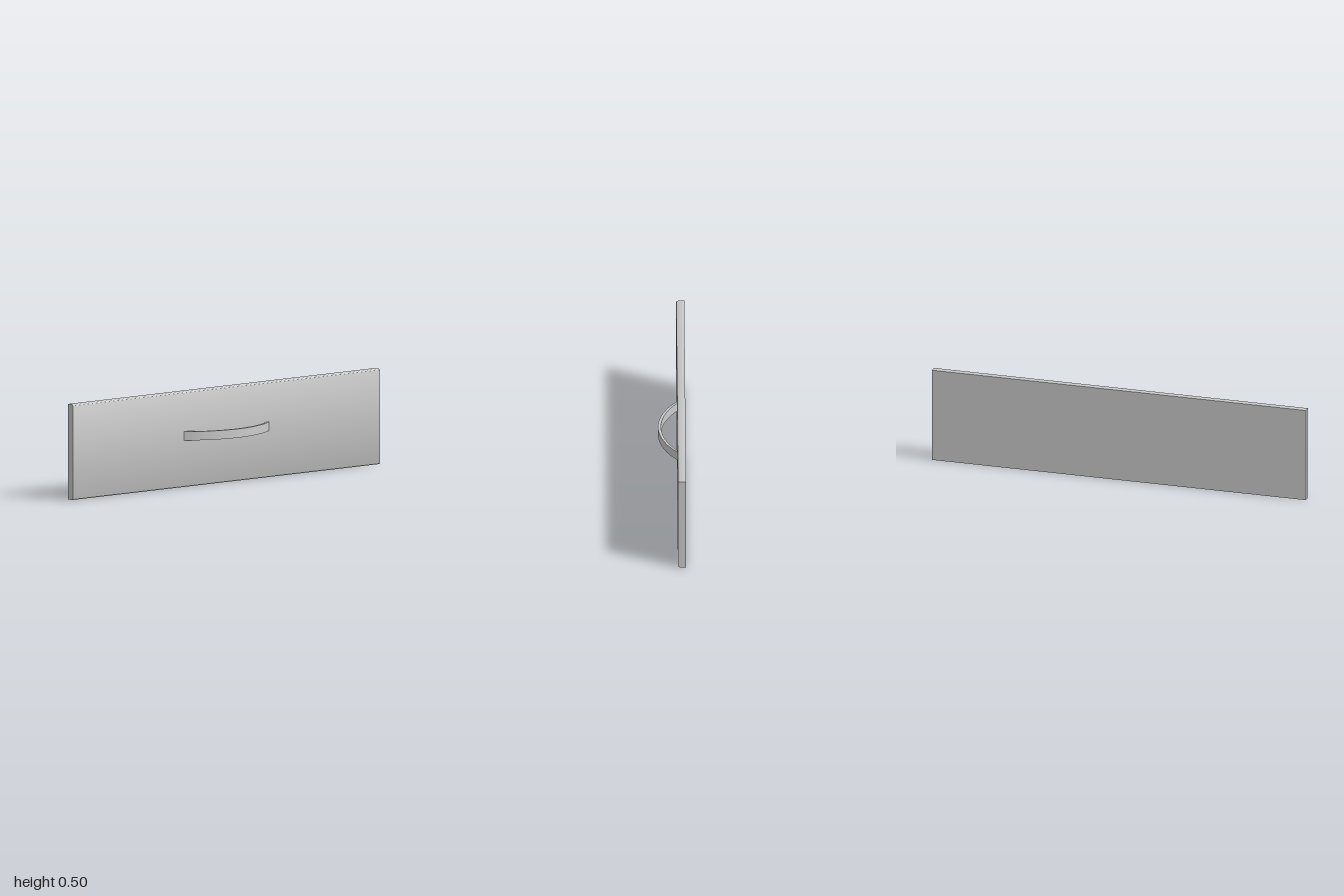
import * as THREE from 'three';
import { toCreasedNormals } from 'three/addons/utils/BufferGeometryUtils.js';

const material = new THREE.MeshStandardMaterial({ color: 0xcccccc });

function extrude(shape, depth) {
  return new THREE.ExtrudeGeometry(shape, { depth, bevelEnabled: false, curveSegments: 6 });
}

function addPart(group, name, geometry) {
  const mesh = new THREE.Mesh(toCreasedNormals(geometry, 0.6), material);
  mesh.name = name;
  group.add(mesh);
}

// Half of a bow, mirrored to a full smooth curve running from -x to +x
function bowCurve(half) {
  const left = half.map(([x, z]) => new THREE.Vector2(-x, z));
  const right = half.slice(0, -1).reverse().map(([x, z]) => new THREE.Vector2(x, z));
  return new THREE.SplineCurve([...left, ...right]).getPoints(40);
}

export function createModel() {
  const group = new THREE.Group();
  group.name = 'drawerFront';

  // Panel: side profile with rounded front edges, swept along x
  const height = 0.495, back = 0.07, front = 0.028, r = 0.01;
  const profile = new THREE.Shape();
  profile.moveTo(back, 0);
  profile.lineTo(back, height);
  profile.lineTo(front + r, height);
  profile.absarc(front + r, height - r, r, Math.PI / 2, Math.PI, false);
  profile.lineTo(front, r);
  profile.absarc(front + r, r, r, Math.PI, Math.PI * 1.5, false);
  const panel = extrude(profile, 2);
  panel.translate(0, 0, -1);
  panel.rotateY(Math.PI / 2).rotateY(Math.PI / 2).rotateY(-Math.PI / 2); // profile x becomes -z
  addPart(group, 'panel', panel);

  // Handle: a flat bowed strip
  const outer = bowCurve([[0.28, -0.03], [0.232, 0.004], [0.18, 0.031], [0.1, 0.058], [0, 0.07]]);
  const inner = bowCurve([[0.261, -0.03], [0.219, -0.003], [0.172, 0.02], [0.097, 0.044], [0, 0.055]]);
  const handle = extrude(new THREE.Shape([...outer, ...inner.reverse()]), 0.046);
  handle.rotateX(Math.PI / 2).translate(0, 0.289, 0);
  addPart(group, 'handle', handle);

  return group;
}
